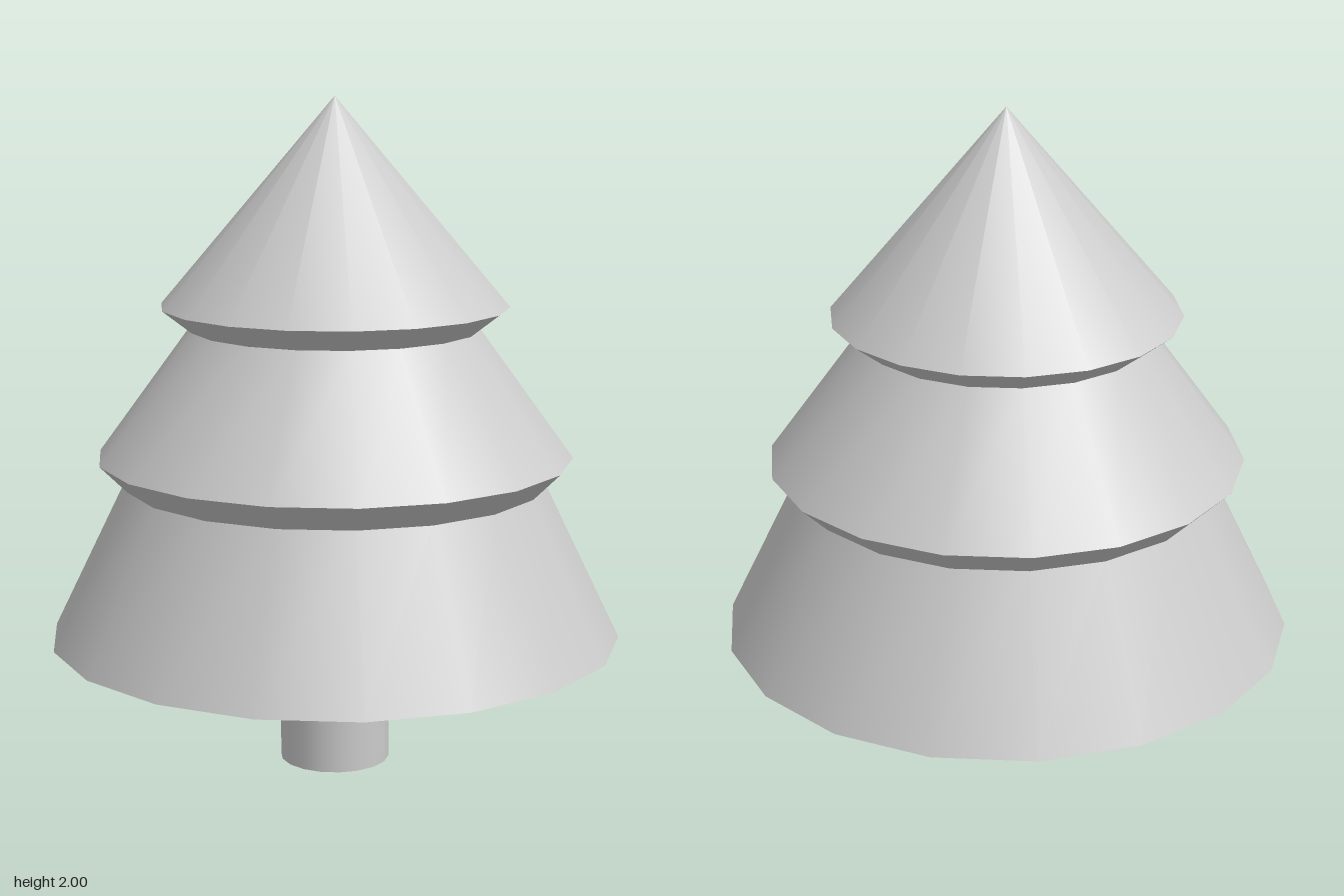
import * as THREE from 'three';

const SIDES = 18;
const smooth = new THREE.MeshStandardMaterial({ color: 0xcccccc });
const faceted = new THREE.MeshStandardMaterial({ color: 0xcccccc, flatShading: true });

// Open ring of sloping sides between two heights, with a corner on the x axis
function ring(name, rBottom, yBottom, rTop, yTop, material) {
  const height = yTop - yBottom;
  const geometry = new THREE.CylinderGeometry(rTop, rBottom, height, SIDES, 1, true, Math.PI / 2);
  geometry.translate(0, yBottom + height / 2, 0);
  const mesh = new THREE.Mesh(geometry, material);
  mesh.name = name;
  return mesh;
}

// Flat disc facing down
function underside(name, radius, y) {
  const geometry = new THREE.CircleGeometry(radius, SIDES);
  geometry.rotateX(Math.PI / 2);
  geometry.translate(0, y, 0);
  const mesh = new THREE.Mesh(geometry, faceted);
  mesh.name = name;
  return mesh;
}

export function createModel() {
  const tree = new THREE.Group();
  tree.name = 'firTree';

  // Trunk
  const trunk = new THREE.Group();
  trunk.name = 'trunk';
  trunk.add(ring('trunkSide', 0.165, 0, 0.165, 0.395, smooth), underside('trunkBase', 0.165, 0));
  tree.add(trunk);

  // Three tiers of branches, from the bottom up
  const tiers = [
    { name: 'lowerBranches', r: 0.855, y: 0.395, rTop: 0.628, yTop: 0.862 },
    { name: 'middleBranches', r: 0.708, y: 0.942, rTop: 0.43, yTop: 1.323 },
    { name: 'upperBranches', r: 0.516, y: 1.39, rTop: 0, yTop: 2 },
  ];
  tiers.forEach((t, i) => {
    const tier = new THREE.Group();
    tier.name = t.name;
    tier.add(ring('slope', t.r, t.y, t.rTop, t.yTop, smooth));
    // The lowest tier has a flat base, the others a faceted overhang
    const below = tiers[i - 1];
    tier.add(below
      ? ring('overhang', below.rTop, below.yTop, t.r, t.y, faceted)
      : underside('base', t.r, t.y));
    tree.add(tier);
  });

  return tree;
}
